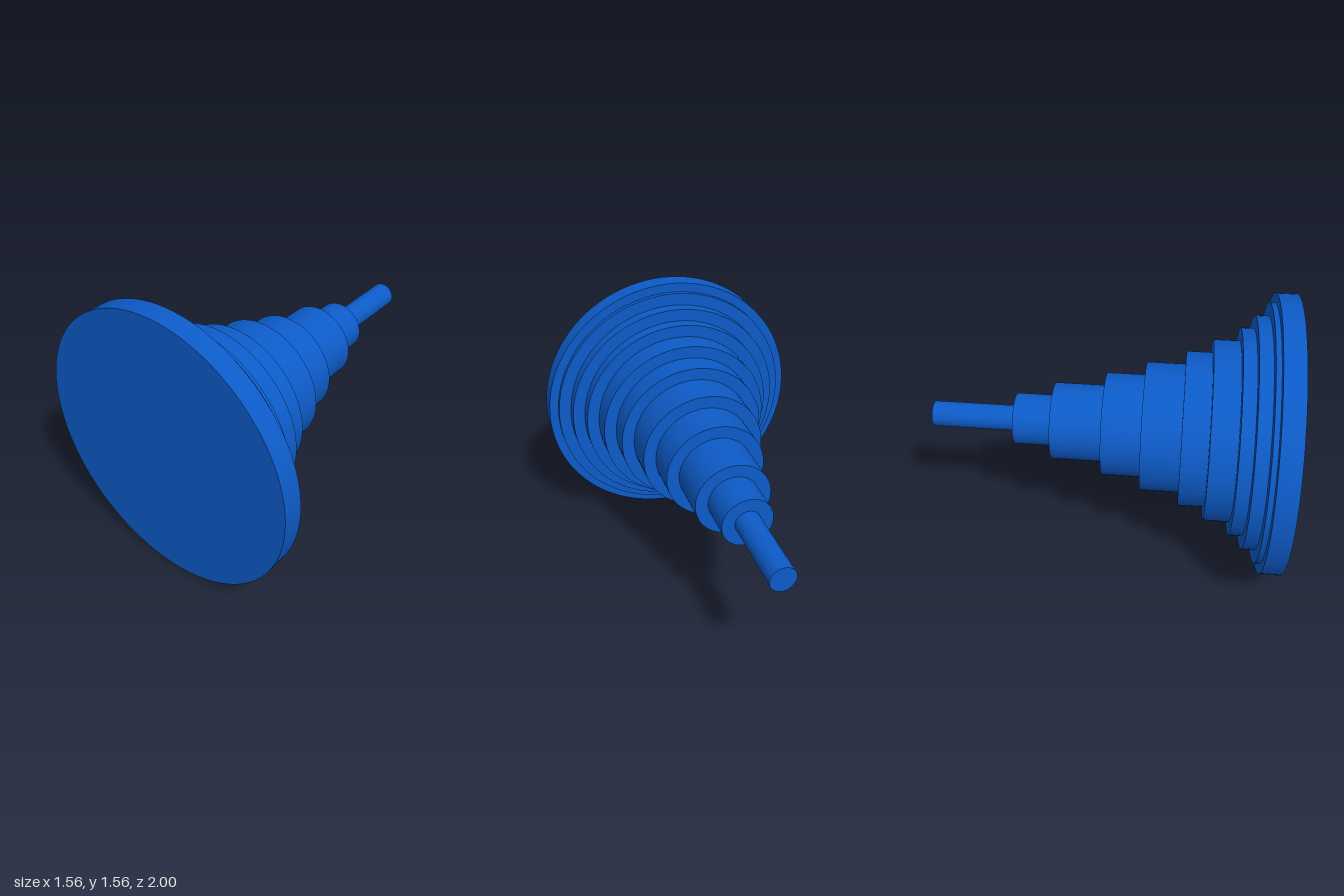
import * as THREE from 'three';

const STEP = 0.0726;      // radius gained per section
const RIM_RADIUS = 0.78;
const FRONT = 1;
const OVERLAP = 0.01;     // each section is seated slightly into the one in front

// z of the back end of each section, from the wide rim to the thin stem
const BACK_ENDS = [0.885, 0.856, 0.783, 0.71, 0.565, 0.42, 0.205, -0.015, -0.305, -0.523, -1];

export function createModel() {
  const group = new THREE.Group();
  group.name = 'steppedCone';
  const material = new THREE.MeshStandardMaterial({ color: 0x0d5bc8 });

  BACK_ENDS.forEach((back, i) => {
    const front = i === 0 ? FRONT : BACK_ENDS[i - 1] + OVERLAP;
    const radius = i === 0 ? RIM_RADIUS : STEP * (BACK_ENDS.length - i);
    const geometry = new THREE.CylinderGeometry(radius, radius, front - back, 96);
    geometry.rotateX(Math.PI / 2);

    const section = new THREE.Mesh(geometry, material);
    section.name = i === 0 ? 'frontRim' : i === BACK_ENDS.length - 1 ? 'stem' : `step${i}`;
    section.position.set(0, RIM_RADIUS, (front + back) / 2);
    group.add(section);
  });

  return group;
}
